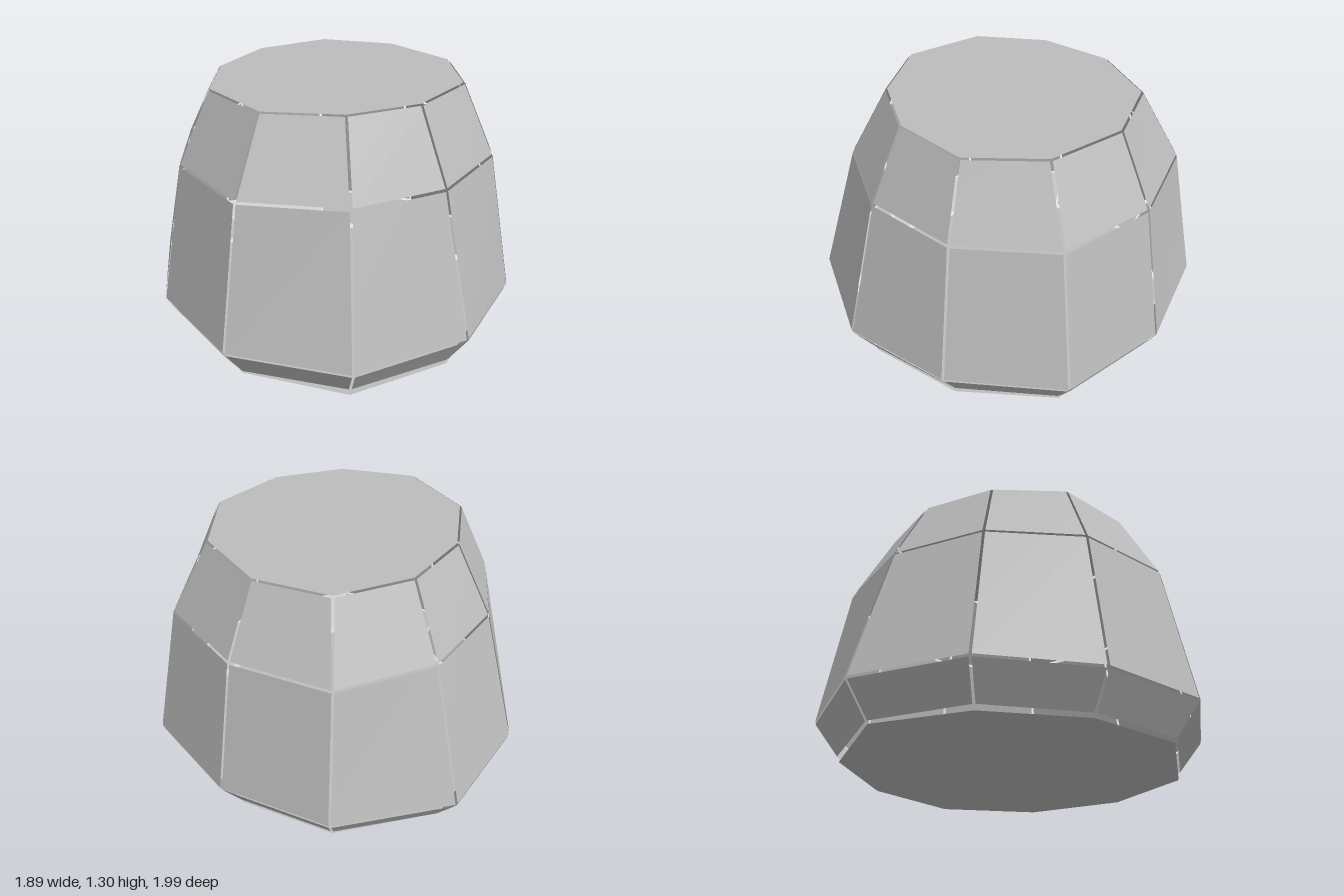
import * as THREE from 'three';

const GAP = 0.007; // half the width of the seams between panels

// Irregular ten-sided rings of [x, z], starting at the back and going round by the left side
const RINGS = {
  base: { y: 0.035, pts: [[0, -0.87], [0.51, -0.67], [0.78, -0.23], [0.82, 0.29], [0.48, 0.69], [0, 0.88], [-0.52, 0.74], [-0.82, 0.29], [-0.77, -0.23], [-0.48, -0.67]] },
  rim: { y: 0.21, pts: [[0, -1], [0.59, -0.77], [0.9, -0.26], [0.945, 0.33], [0.55, 0.79], [0, 1], [-0.6, 0.85], [-0.945, 0.33], [-0.89, -0.27], [-0.56, -0.77]] },
  shoulder: { y: 0.935, pts: [[0, -0.78], [0.5, -0.67], [0.78, -0.23], [0.81, 0.285], [0.48, 0.68], [0, 0.81], [-0.47, 0.68], [-0.81, 0.285], [-0.77, -0.23], [-0.46, -0.61]] },
  top: { y: 1.3, pts: [[0, -0.585], [0.385, -0.5], [0.61, -0.18], [0.62, 0.23], [0.385, 0.55], [0, 0.63], [-0.355, 0.515], [-0.62, 0.23], [-0.61, -0.18], [-0.355, -0.46]] },
};

const ringPoints = ({ y, pts }) => pts.map(([x, z]) => new THREE.Vector3(x, y, z));

// Flat panel from a loop of corners, each pulled in along its two edges to leave a seam
function panel(name, corners, material) {
  const n = corners.length;
  const inset = corners.map((p, i) => {
    const a = corners[(i + 1) % n].clone().sub(p).normalize();
    const b = corners[(i + n - 1) % n].clone().sub(p).normalize();
    const slide = GAP / Math.max(0.3, a.clone().cross(b).length());
    return p.clone().addScaledVector(a, slide).addScaledVector(b, slide);
  });
  const index = [];
  for (let i = 1; i < n - 1; i++) index.push(0, i, i + 1);
  const geometry = new THREE.BufferGeometry().setFromPoints(inset);
  geometry.setIndex(index);
  geometry.computeVertexNormals();
  const mesh = new THREE.Mesh(geometry, material);
  mesh.name = name;
  return mesh;
}

export function createModel() {
  const stone = new THREE.MeshStandardMaterial({ color: 0xbcbcbc, side: THREE.DoubleSide });
  stone.name = 'grey stone';
  const model = new THREE.Group();
  model.name = 'facetedDome';

  // Three bands of ten separate panels
  const band = (name, lowerRing, upperRing) => {
    const group = new THREE.Group();
    group.name = name;
    const lower = ringPoints(lowerRing), upper = ringPoints(upperRing);
    for (let i = 0; i < lower.length; i++) {
      const j = (i + 1) % lower.length;
      group.add(panel(`${name}Panel${i + 1}`, [lower[j], lower[i], upper[i], upper[j]], stone));
    }
    model.add(group);
  };
  band('lowerBevel', RINGS.base, RINGS.rim);
  band('wall', RINGS.rim, RINGS.shoulder);
  band('upperBevel', RINGS.shoulder, RINGS.top);

  // Flat lid
  model.add(panel('topPanel', ringPoints(RINGS.top).reverse(), stone));

  // Slightly uneven underside, folded from the back right corner
  const heights = [0.03, 0.015, 0.012, 0.015, 0.005, 0.01, 0, 0.022, 0.02, 0.015];
  const under = ringPoints(RINGS.base).map((p, i) => p.setY(heights[i]));
  under.unshift(under.pop());
  model.add(panel('bottomPanel', under, stone));

  return model;
}
